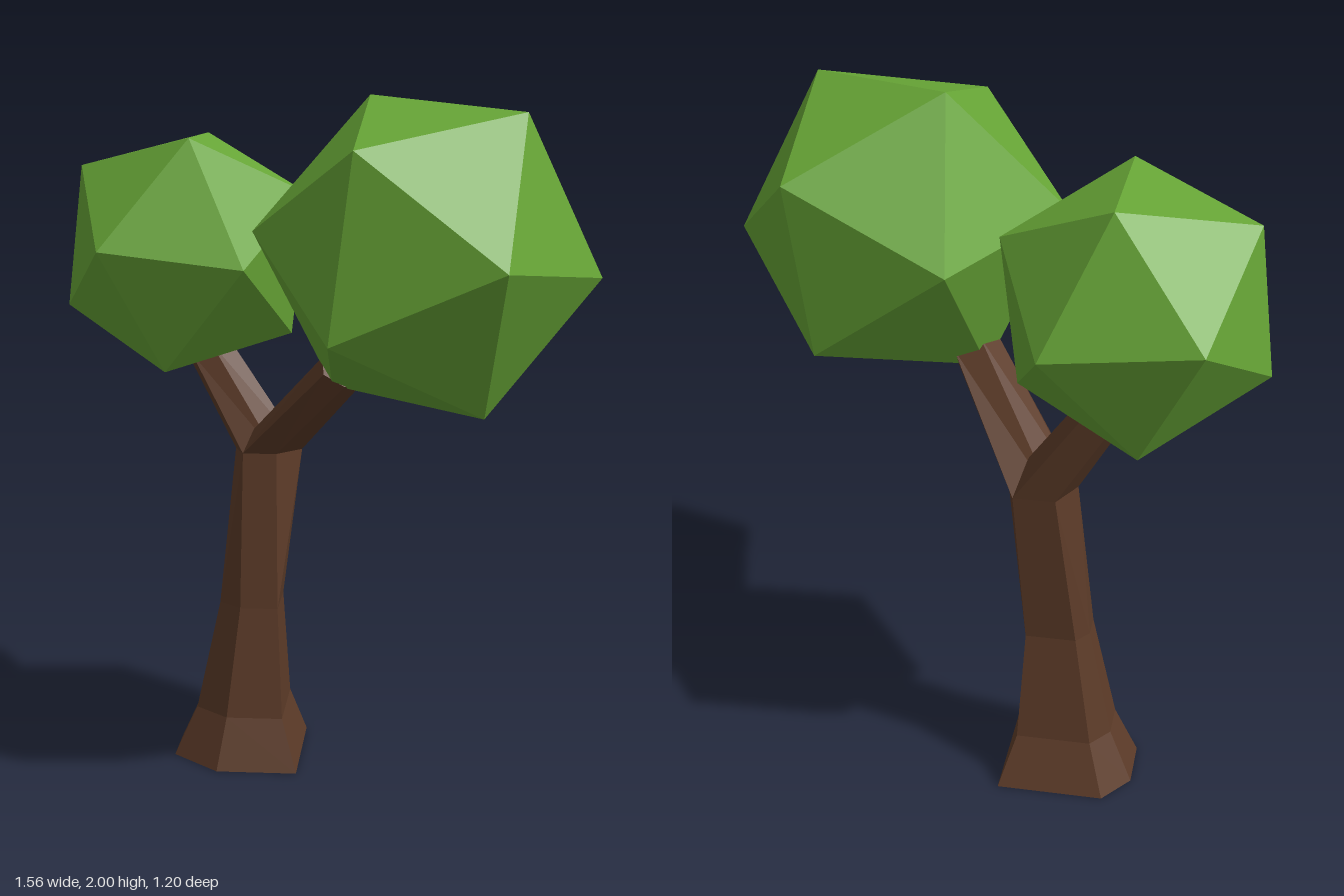
import * as THREE from 'three';

const bark = new THREE.MeshStandardMaterial({ color: 0x5c3b28, flatShading: true });
const leaf = new THREE.MeshStandardMaterial({ color: 0x67a536, flatShading: true });
const V = (x, y, z) => new THREE.Vector3(x, y, z);

// Faceted skin through rings of equal size (clockwise from above), capped at both ends
function loft(rings) {
  const pos = [];
  const tri = (...pts) => pts.forEach((p) => pos.push(p.x, p.y, p.z));
  const n = rings[0].length;
  const first = rings[0], last = rings[rings.length - 1];
  for (let i = 0; i < n; i++) {
    const j = (i + 1) % n;
    for (let k = 0; k < rings.length - 1; k++) {
      const a = rings[k], b = rings[k + 1];
      tri(a[i], b[j], a[j]);
      tri(a[i], b[i], b[j]);
    }
    if (i > 0 && j > 0) {
      tri(first[0], first[i], first[j]);
      tri(last[0], last[j], last[i]);
    }
  }
  const geo = new THREE.BufferGeometry();
  geo.setAttribute('position', new THREE.Float32BufferAttribute(pos, 3));
  geo.computeVertexNormals();
  return geo;
}

export function createModel() {
  const tree = new THREE.Group();
  tree.name = 'tree';
  const add = (name, geo, mat) => {
    const mesh = new THREE.Mesh(geo, mat);
    mesh.name = name;
    tree.add(mesh);
    return mesh;
  };

  // Trunk: flared chamfered foot narrowing to a twisted fork
  const foot = [[0.19, 0.195], [-0.05, 0.195], [-0.195, 0.065], [-0.195, -0.095], [-0.12, -0.195], [0.19, -0.195]];
  const ring = (x, y, z, s) => foot.map(([px, pz]) => V(x + px * s, y, z + pz * s));
  const fork = [[-0.07, -0.19], [-0.14, -0.11], [-0.24, -0.11], [-0.27, -0.19], [-0.22, -0.29], [-0.1, -0.29]]
    .map(([x, z]) => V(x, 0.95, z));
  add('trunk', loft([
    ring(-0.262, 0, -0.165, 1),
    ring(-0.252, 0.15, -0.165, 0.7),
    ring(-0.225, 0.48, -0.17, 0.47),
    fork,
  ]), bark);

  // Branches: the fork ring tilted and shrunk toward each crown
  const forkCentre = V(-0.17, 0.95, -0.2);
  function branch(name, end, scale) {
    const dir = end.clone().sub(forkCentre).normalize();
    const tilt = new THREE.Quaternion().setFromUnitVectors(V(0, 1, 0), dir);
    const tip = fork.map((p) => p.clone().sub(forkCentre).multiplyScalar(scale).applyQuaternion(tilt).add(end));
    add(name, loft([fork, tip]), bark);
  }
  branch('leftBranch', V(0.07, 1.24, 0.06), 0.7);
  branch('rightBranch', V(-0.36, 1.25, -0.26), 0.66);

  // Crowns: icosahedra turned so their top edge runs along "edge" and faces "up"
  function crown(name, centre, radius, edge, up) {
    const x = edge.normalize();
    const z = x.clone().cross(up).normalize();
    const y = z.clone().cross(x);
    const mesh = add(name, new THREE.IcosahedronGeometry(radius, 0), leaf);
    mesh.quaternion.setFromRotationMatrix(new THREE.Matrix4().makeBasis(x, y, z));
    mesh.position.copy(centre);
  }
  crown('leftCrown', V(0.303, 1.575, 0.165), 0.483, V(0.43, -0.04, 0.27), V(0.104, 0.81, -0.04));
  crown('rightCrown', V(-0.42, 1.54, -0.26), 0.4, V(0, 0, 1), V(0.117, 0.993, 0));

  return tree;
}
